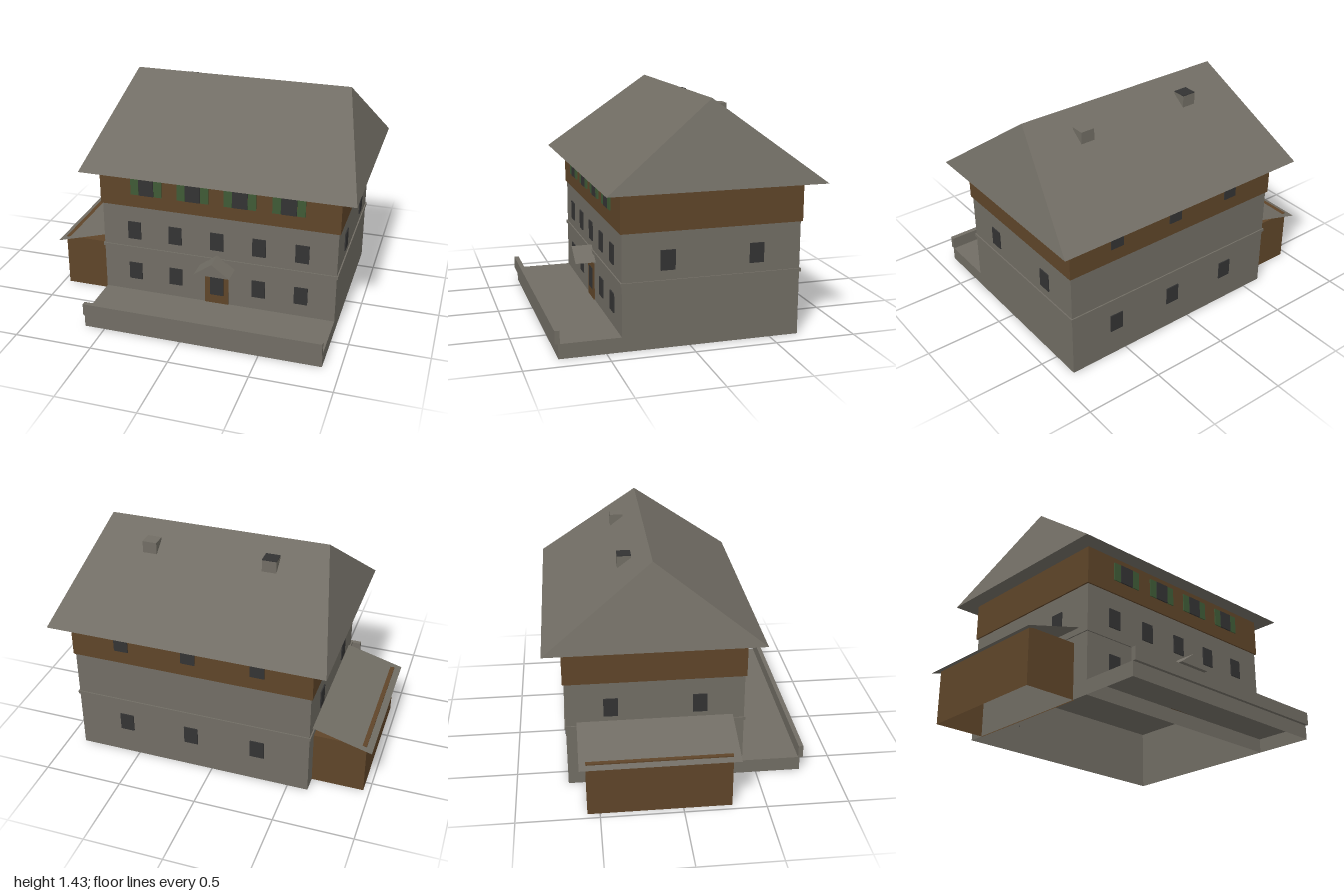
import * as THREE from 'three';

const material = (name, color) => {
  const m = new THREE.MeshStandardMaterial({ color, side: THREE.DoubleSide });
  m.name = name;
  return m;
};

export function createModel() {
  const stone = material('stone grey', 0x716d64);
  const wood = material('brown wood', 0x5f4529);
  const dark = material('dark glass', 0x333333);
  const green = material('shutter green', 0x3f5a36);

  const house = new THREE.Group();
  house.name = 'house';

  const add = (name, geometry, mat, parent = house) => {
    const mesh = new THREE.Mesh(geometry, mat);
    mesh.name = name;
    parent.add(mesh);
    return mesh;
  };

  // Box given by its ranges; openBottom drops the face on the ground
  const box = (name, mat, [x0, x1], [y0, y1], [z0, z1], openBottom = false) => {
    const g = new THREE.BoxGeometry(x1 - x0, y1 - y0, z1 - z0);
    if (openBottom) {
      const index = Array.from(g.index.array);
      index.splice(18, 6);
      g.setIndex(index);
      g.clearGroups();
    }
    g.translate((x0 + x1) / 2, (y0 + y1) / 2, (z0 + z1) / 2);
    return add(name, g, mat);
  };

  // Flat faces from corner loops
  const faceted = (corners, faces) => {
    const pos = [];
    for (const f of faces)
      for (let i = 1; i < f.length - 1; i++)
        pos.push(...corners[f[0]], ...corners[f[i]], ...corners[f[i + 1]]);
    const g = new THREE.BufferGeometry();
    g.setAttribute('position', new THREE.Float32BufferAttribute(pos, 3));
    g.computeVertexNormals();
    return g;
  };

  // Walls, storey band and timber upper floor
  box('walls', stone, [-0.63, 0.89], [0, 0.7], [-0.68, 0.41], true);
  box('storeyBand', stone, [-0.638, 0.898], [0.392, 0.412], [-0.688, 0.418]);
  box('timberFloor', wood, [-0.64, 0.9], [0.7, 0.94], [-0.69, 0.42]);

  // Hipped roof
  add('mainRoof', faceted(
    [[-0.74, 0.94, 0.52], [1, 0.94, 0.52], [1, 0.94, -0.8], [-0.74, 0.94, -0.8],
      [-0.57, 1.435, -0.14], [0.825, 1.435, -0.14]],
    [[0, 1, 5, 4], [1, 2, 5], [2, 3, 4, 5], [3, 0, 4], [0, 3, 2, 1]]), stone);

  // Chimneys on the rear slope, one with a dark flue
  for (const x of [-0.255, 0.505])
    box('chimney', stone, [x - 0.045, x + 0.045], [1.26, 1.368], [-0.33, -0.245]);
  box('chimneyFlue', dark, [-0.3, -0.21], [1.368, 1.372], [-0.33, -0.245]);

  // Terrace with parapet
  box('terrace', stone, [-0.63, 0.89], [0, 0.09], [0.41, 0.78], true);
  box('parapet', stone, [-0.63, 0.89], [0.09, 0.17], [0.77, 0.8]);

  // Shed with a single-sheet sloping roof
  box('shed', wood, [-0.96, -0.622], [0, 0.35], [-0.575, 0.295], true);
  add('shedRoof', faceted(
    [[-1, 0.331, 0.34], [-0.63, 0.436, 0.34], [-0.63, 0.436, -0.615], [-1, 0.331, -0.615]],
    [[0, 1, 2, 3]]), stone);

  // Door and its gabled canopy
  box('door', wood, [0.05, 0.205], [0.09, 0.33], [0.41, 0.416]);
  box('doorGlass', dark, [0.085, 0.172], [0.15, 0.29], [0.416, 0.419]);
  const gable = new THREE.Shape([
    new THREE.Vector2(0.015, 0.35), new THREE.Vector2(0.245, 0.35), new THREE.Vector2(0.13, 0.435)]);
  add('doorCanopy', new THREE.ExtrudeGeometry(gable, { depth: 0.14, bevelEnabled: false })
    .translate(0, 0, 0.4), stone);

  // Front windows on the two stone storeys
  const t = 0.007;
  const lower = [0.178, 0.295], upper = [0.47, 0.59], top = [0.788, 0.905];
  for (const x of [-0.42, -0.147, 0.128, 0.4, 0.672]) {
    const across = [x - 0.043, x + 0.043];
    box('frontWindow', dark, across, upper, [0.41, 0.41 + t]);
    if (x !== 0.128) box('frontWindow', dark, across, lower, [0.41, 0.41 + t]);
  }

  // Shuttered timber-floor windows
  for (const x of [-0.33, -0.025, 0.277, 0.582]) {
    box('topWindow', dark, [x - 0.048, x + 0.048], top, [0.42, 0.42 + t + 0.002]);
    for (const s of [-1, 1])
      box('shutter', green, [x + s * 0.076 - 0.026, x + s * 0.076 + 0.026], top, [0.42, 0.42 + t]);
  }

  // Rear windows
  for (const x of [0.57, 0.135, -0.3]) {
    const across = [x - 0.045, x + 0.045];
    box('rearWindow', dark, across, lower, [-0.68 - t, -0.68]);
    box('rearTopWindow', dark, across, top, [-0.69 - t, -0.69]);
  }

  // Side windows
  for (const z of [0.137, -0.406]) {
    const along = [z - 0.044, z + 0.044];
    box('leftWindow', dark, [0.89, 0.89 + t], upper, along);
    box('rightWindow', dark, [-0.63 - t, -0.63], upper, along);
  }

  return house;
}
